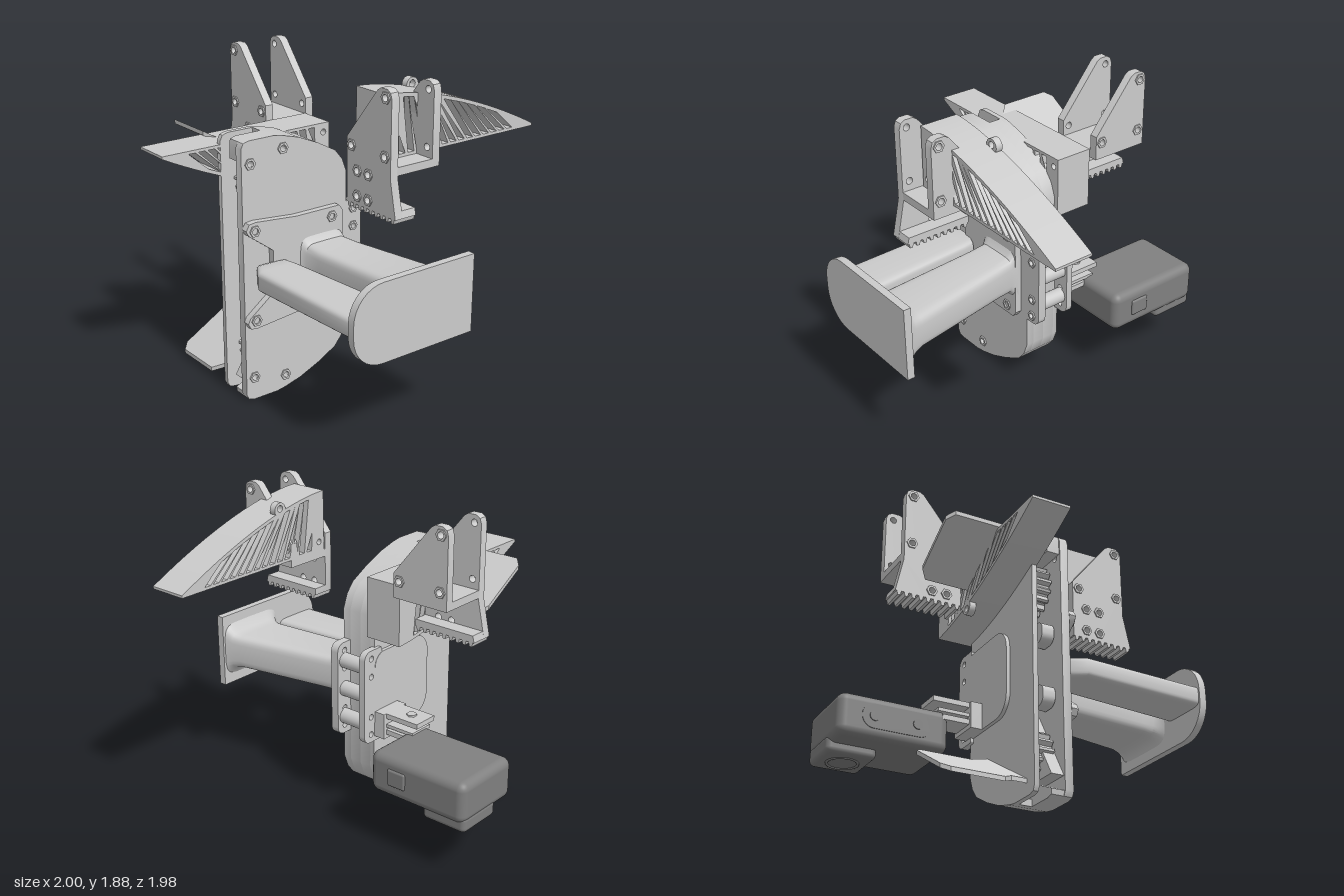
import * as THREE from 'three';
import { RoundedBoxGeometry } from 'three/addons/geometries/RoundedBoxGeometry.js';
import { toCreasedNormals } from 'three/addons/utils/BufferGeometryUtils.js';

const grey = new THREE.MeshStandardMaterial({ color: 0xcccccc });
const dark = new THREE.MeshStandardMaterial({ color: 0x808080 });

function add(parent, name, geo, x = 0, y = 0, z = 0, mat = grey) {
  const m = new THREE.Mesh(geo, mat);
  m.name = name;
  m.position.set(x, y, z);
  parent.add(m);
  return m;
}

function box(parent, name, x0, x1, y0, y1, z0, z1, mat = grey) {
  return add(parent, name, new THREE.BoxGeometry(x1 - x0, y1 - y0, z1 - z0),
    (x0 + x1) / 2, (y0 + y1) / 2, (z0 + z1) / 2, mat);
}

// Shape from corner points, with round holes [u, v, r] and polygon holes
function shapeOf(pts, holes = [], cuts = []) {
  const s = new THREE.Shape(pts.map(p => new THREE.Vector2(...p)));
  for (const [u, v, r] of holes) s.holes.push(new THREE.Path().absarc(u, v, r, 0, Math.PI * 2, true));
  for (const c of cuts) s.holes.push(new THREE.Path(c.map(p => new THREE.Vector2(...p))));
  return s;
}
const extrude = (shape, depth) =>
  toCreasedNormals(new THREE.ExtrudeGeometry(shape, { depth, bevelEnabled: false, curveSegments: 10 }), 0.6);
// Extrusion of a (z, y) shape from x0 to x1
const sideways = (shape, x0, x1) => extrude(shape, x1 - x0).rotateY(-Math.PI / 2).translate(x1, 0, 0);
// Extrusion of an (x, y) shape from z0 to z1
const frontways = (shape, z0, z1) => extrude(shape, z1 - z0).translate(0, 0, z0);

// Rounded rectangle as points; r0 rounds the low-u corners, r1 the high-u ones
function roundRect(u0, u1, v0, v1, r0, r1) {
  const pts = [];
  [[u1 - r1, v0 + r1, r1, -1], [u1 - r1, v1 - r1, r1, 0], [u0 + r0, v1 - r0, r0, 1], [u0 + r0, v0 + r0, r0, 2]]
    .forEach(([u, v, r, q]) => {
      for (let i = 0; i <= 8; i++) {
        const a = (q + i / 8) * Math.PI / 2;
        if (r > 0 || i === 0) pts.push([u + r * Math.cos(a), v + r * Math.sin(a)]);
      }
    });
  return pts;
}

// Loft of rounded sections [x, z0, z1, halfHeight] along x
function loft(sections, yc, n = 32) {
  const pos = [], idx = [];
  for (const [x, z0, z1, h] of sections) for (let i = 0; i < n; i++) {
    const a = i / n * Math.PI * 2, c = Math.cos(a), s = Math.sin(a);
    pos.push(x, yc + h * Math.sign(s) * Math.abs(s) ** 0.45,
      (z0 + z1) / 2 + (z1 - z0) / 2 * Math.sign(c) * Math.abs(c) ** 0.3);
  }
  for (let k = 0; k < sections.length - 1; k++) for (let i = 0; i < n; i++) {
    const a = k * n + i, b = k * n + (i + 1) % n;
    idx.push(a, a + n, b, b, a + n, b + n);
  }
  const last = (sections.length - 1) * n;
  for (let i = 1; i < n - 1; i++) idx.push(0, i, i + 1, last, last + i + 1, last + i);
  const g = new THREE.BufferGeometry();
  g.setAttribute('position', new THREE.Float32BufferAttribute(pos, 3));
  g.setIndex(idx);
  return toCreasedNormals(g, 0.6);
}

// Hex nut with a bore; axis 'x' or 'z'
function nut(parent, x, y, z, axis, r = 0.034) {
  const hex = [...Array(6)].map((_, i) => [r * Math.cos(i * Math.PI / 3), r * Math.sin(i * Math.PI / 3)]);
  const m = add(parent, 'nut', extrude(shapeOf(hex, [[0, 0, r * 0.55]]), 0.012).translate(0, 0, -0.006), x, y, z);
  if (axis === 'x') m.rotation.y = Math.PI / 2;
}

function makeHousing() {
  const g = new THREE.Group();
  g.name = 'housing';
  const half = [[0.63, 1.5], [0.615, 1.53], [0.58, 1.54], [0.42, 1.54], [0.36, 1.53], [0.25, 1.5],
    [0.12, 1.445], [0.0, 1.38], [-0.05, 1.32], [-0.08, 1.24]];
  const flip = pts => pts.map(([z, y]) => [z, 1.54 - y]).reverse();
  const outline = [...half, ...flip(half)];
  const bolts = [[0.575, 1.41], [0.36, 1.46], [0.575, 0.14], [0.36, 0.09]];
  add(g, 'rightPlate', sideways(shapeOf(outline, bolts.map(b => [...b, 0.018])), 0.03, 0.08));
  bolts.forEach(([z, y]) => nut(g, 0.083, y, z, 'x'));
  add(g, 'leftPlate', sideways(shapeOf(outline), -0.15, -0.12));
  // Rim open to the front, its left half cut back
  const rim = front => {
    const outer = half.map(([z, y]) => [Math.min(z, front), y]);
    const inner = [[front, 1.42], [0.3, 1.42], [0.06, 1.34], [-0.03, 1.22]];
    return shapeOf([...outer, ...flip(outer), ...flip(inner), ...inner.slice().reverse()]);
  };
  add(g, 'rimRight', sideways(rim(0.62), -0.045, 0.03));
  add(g, 'rimLeft', sideways(rim(0.42), -0.12, -0.045));
  box(g, 'innerColumn', -0.12, 0, 0.4, 1.14, 0.1, 0.3);
  // Sprockets and guide rollers
  for (const y of [1.27, 0.27]) {
    const teeth = [];
    for (let i = 0; i < 64; i++) {
      const a = i / 64 * Math.PI * 2, r = i % 4 < 2 ? 0.15 : 0.125;
      teeth.push([0.4 + r * Math.cos(a), y + r * Math.sin(a)]);
    }
    add(g, 'sprocket', sideways(shapeOf(teeth), -0.115, 0.02));
  }
  for (const y of [0.96, 0.59])
    add(g, 'guideRoller', sideways(shapeOf(roundRect(0.42, 0.56, y - 0.06, y + 0.06, 0.05, 0.05)), -0.05, 0.025));
  return g;
}

function makeRearHinge() {
  const g = new THREE.Group();
  g.name = 'rearHinge';
  const ys = [1.01, 0.9, 0.65, 0.54];
  const plate = shapeOf(roundRect(-0.19, -0.04, 0.49, 1.06, 0.05, 0.01), ys.map(y => [-0.13, y, 0.018]));
  add(g, 'hingePlateRight', sideways(plate, 0.03, 0.08));
  add(g, 'hingePlateLeft', sideways(plate, -0.17, -0.13));
  ys.forEach(y => nut(g, 0.083, y, -0.13, 'x', 0.03));
  for (const y of [0.95, 0.775, 0.6])
    add(g, 'hingeBarrel', new THREE.CylinderGeometry(0.045, 0.045, 0.18, 24).rotateZ(Math.PI / 2), -0.05, y, -0.13);
  add(g, 'sidePlate', sideways(shapeOf(roundRect(-0.1, 0.38, 0.52, 1.03, 0.08, 0.12)), -0.172, -0.15));
  return g;
}

function makeHandle() {
  const g = new THREE.Group();
  g.name = 'handle';
  const top = [[0.46, 0.9], [0.62, 1.02], [0.635, 1.05], [0.615, 1.085], [0.57, 1.09], [0.3, 1.065], [0.0, 1.065], [-0.025, 1.03]];
  const outline = [...top, ...top.map(([z, y]) => [z, 1.55 - y]).reverse()];
  add(g, 'mountPlate', sideways(shapeOf(outline), 0.08, 0.12));
  for (const [z, y] of [[0.58, 1.04], [0.055, 1.01]]) for (const yy of [y, 1.55 - y]) nut(g, 0.123, yy, z, 'x');
  add(g, 'rearGrip', loft([[0.1, -0.03, 0.3, 0.2], [0.12, -0.025, 0.275, 0.15], [0.15, -0.03, 0.258, 0.115],
    [0.25, -0.05, 0.25, 0.108], [0.86, -0.17, 0.2, 0.108], [0.91, -0.185, 0.21, 0.12],
    [0.95, -0.195, 0.245, 0.155], [0.975, -0.205, 0.3, 0.215]], 0.775));
  add(g, 'frontGrip', loft([[0.1, 0.44, 0.56, 0.05], [0.13, 0.37, 0.58, 0.06], [0.2, 0.355, 0.62, 0.062],
    [0.97, 0.285, 0.59, 0.062]], 0.775));
  add(g, 'endPlate', sideways(shapeOf(roundRect(-0.21, 0.6, 0.55, 1.0, 0, 0.19)), 0.955, 1.0));
  return g;
}

// U bracket with a toothed foot
function makeBracket() {
  const g = new THREE.Group();
  g.name = 'toothedBracket';
  const upper = [[0.755, 1.42], [0.755, 1.84], [0.745, 1.87], [0.72, 1.885], [0.67, 1.885], [0.645, 1.87], [0.4, 1.57]];
  const teeth = [[0.4, 1.21]];
  for (let i = 0; i < 9; i++) {
    const x = 0.4 + i * 0.0444;
    teeth.push([x + 0.008, 1.21], [x + 0.014, 1.185], [x + 0.03, 1.185], [x + 0.036, 1.21]);
  }
  teeth.push([0.8, 1.21]);
  const ears = [[0.71, 1.84], [0.71, 1.53], [0.44, 1.53]];
  const low = [[0.49, 1.4], [0.58, 1.4], [0.49, 1.26], [0.58, 1.26]];
  const ring = l => l.map(p => [...p, 0.02]);
  add(g, 'frontPlate', frontways(shapeOf([...teeth, ...upper], ring([...ears, ...low])), 0.12, 0.17));
  add(g, 'rearPlate', frontways(shapeOf([[0.4, 1.43], [0.755, 1.43], ...upper.slice(1)], ring(ears)), -0.165, -0.115));
  add(g, 'foot', frontways(shapeOf([...teeth, [0.79, 1.25], [0.4, 1.25]]), 0.03, 0.12));
  box(g, 'floor', 0.4, 0.755, 1.43, 1.475, -0.12, 0.125);
  [...ears, ...low].forEach(([x, y]) => nut(g, x, y, 0.172, 'z'));
  ears.forEach(([x, y]) => nut(g, x, y, -0.167, 'z'));
  return g;
}

// Curved fin with leaning slats
function makeFin() {
  const g = new THREE.Group();
  g.name = 'slattedFin';
  const arc = z => 1.83 - 0.34 * Math.max(0, (0.11 - z) / 1.1) ** 1.64;
  const outline = [[0.11, 1.475]];
  for (let i = 0; i <= 24; i++) outline.push([0.11 - 1.1 * i / 24, arc(0.11 - 1.1 * i / 24)]);
  outline.push([-0.99, 1.475]);
  // Walk up a slat line until just below the arc
  const rise = (z, lean) => {
    let y = 1.492;
    while (y < arc(z) - 0.022) { y += 0.002; z += 0.002 * lean; }
    return [z, y];
  };
  const cuts = [];
  for (let i = 0; i < 14; i++) {
    const a = 0.005 - i * 0.061, b = a - 0.042, lean = 0.05 + i * 0.085;
    cuts.push([[a, 1.492], [b, 1.492], rise(b, lean), rise(a, lean)]);
  }
  add(g, 'finBody', sideways(shapeOf(outline, [[0.07, 1.79, 0.018], [0.07, 1.53, 0.018]], cuts), 0.4, 0.63));
  const ear = new THREE.Shape().absarc(-0.245, 1.79, 0.042, 0, Math.PI * 2);
  ear.holes.push(new THREE.Path().absarc(-0.245, 1.797, 0.02, 0, Math.PI * 2, true));
  add(g, 'finEar', sideways(ear, 0.4, 0.44));
  return g;
}

// Sloping wing plate beside the housing
function makeDeflector() {
  const pts = [[-0.65, 0.58], [-0.61, 0.62], [-0.31, 0.62], [-0.24, 0.555], [-0.13, 0.555], [-0.13, 0.13],
    [-0.16, 0.13], [-0.31, 0.25], [-0.61, 0.25], [-0.65, 0.3]];
  const geo = new THREE.ExtrudeGeometry(shapeOf(pts), { depth: 0.025, bevelEnabled: false }).rotateX(Math.PI / 2);
  const p = geo.attributes.position;
  for (let i = 0; i < p.count; i++) p.setY(i, p.getY(i) + 0.055 + (0.62 - p.getZ(i)) * 0.58);
  geo.computeVertexNormals();
  return geo;
}

function makeCamera() {
  const g = new THREE.Group();
  g.name = 'cameraUnit';
  add(g, 'cameraBody', new RoundedBoxGeometry(0.64, 0.245, 0.45, 5, 0.05), -0.68, 0.475, -0.145, dark);
  add(g, 'lensBlock', new RoundedBoxGeometry(0.285, 0.1, 0.285, 4, 0.03), -0.857, 0.35, -0.21, dark);
  add(g, 'lensRing', new THREE.TorusGeometry(0.085, 0.008, 8, 32).rotateX(Math.PI / 2), -0.857, 0.301, -0.21, dark);
  add(g, 'latchPanel', frontways(shapeOf(roundRect(-0.87, -0.47, 0.41, 0.55, 0.068, 0.068)), 0.07, 0.084), 0, 0, 0, dark);
  for (const x of [-0.8, -0.55])
    add(g, 'latchButton', new THREE.CylinderGeometry(0.028, 0.028, 0.012, 24).rotateX(Math.PI / 2), x, 0.48, 0.084, dark);
  add(g, 'shutterButton', new RoundedBoxGeometry(0.12, 0.1, 0.03, 3, 0.012), -0.55, 0.48, -0.366, dark);
  // Mount fingers reaching from the housing
  for (const [x0, y0, y1] of [[-0.46, 0.645, 0.675], [-0.43, 0.59, 0.61], [-0.4, 0.545, 0.575]])
    box(g, 'mountFinger', x0, -0.2, y0, y1, -0.08, 0.08);
  box(g, 'mountBase', -0.24, -0.15, 0.52, 0.675, -0.1, 0.1);
  add(g, 'mountBolt', new THREE.CylinderGeometry(0.03, 0.03, 0.012, 6), -0.36, 0.679, 0);
  return g;
}

export function createModel() {
  const model = new THREE.Group();
  model.name = 'model';
  model.add(makeHousing(), makeRearHinge(), makeHandle(), makeCamera());

  // Brackets mirrored about x = 0.025
  const left = makeBracket(), right = makeBracket();
  right.scale.x = -1;
  right.position.x = 0.05;
  model.add(left, right);

  // One fin sweeps back, the other is turned over and sweeps forward
  const rearFin = makeFin(), frontFin = makeFin();
  frontFin.rotation.x = Math.PI;
  frontFin.position.set(-0.75, 2.955, 0);
  model.add(rearFin, frontFin);

  add(model, 'lowerDeflector', makeDeflector());
  add(model, 'upperDeflector', makeDeflector(), 0, 1.54, 0).scale.y = -1;
  return model;
}
